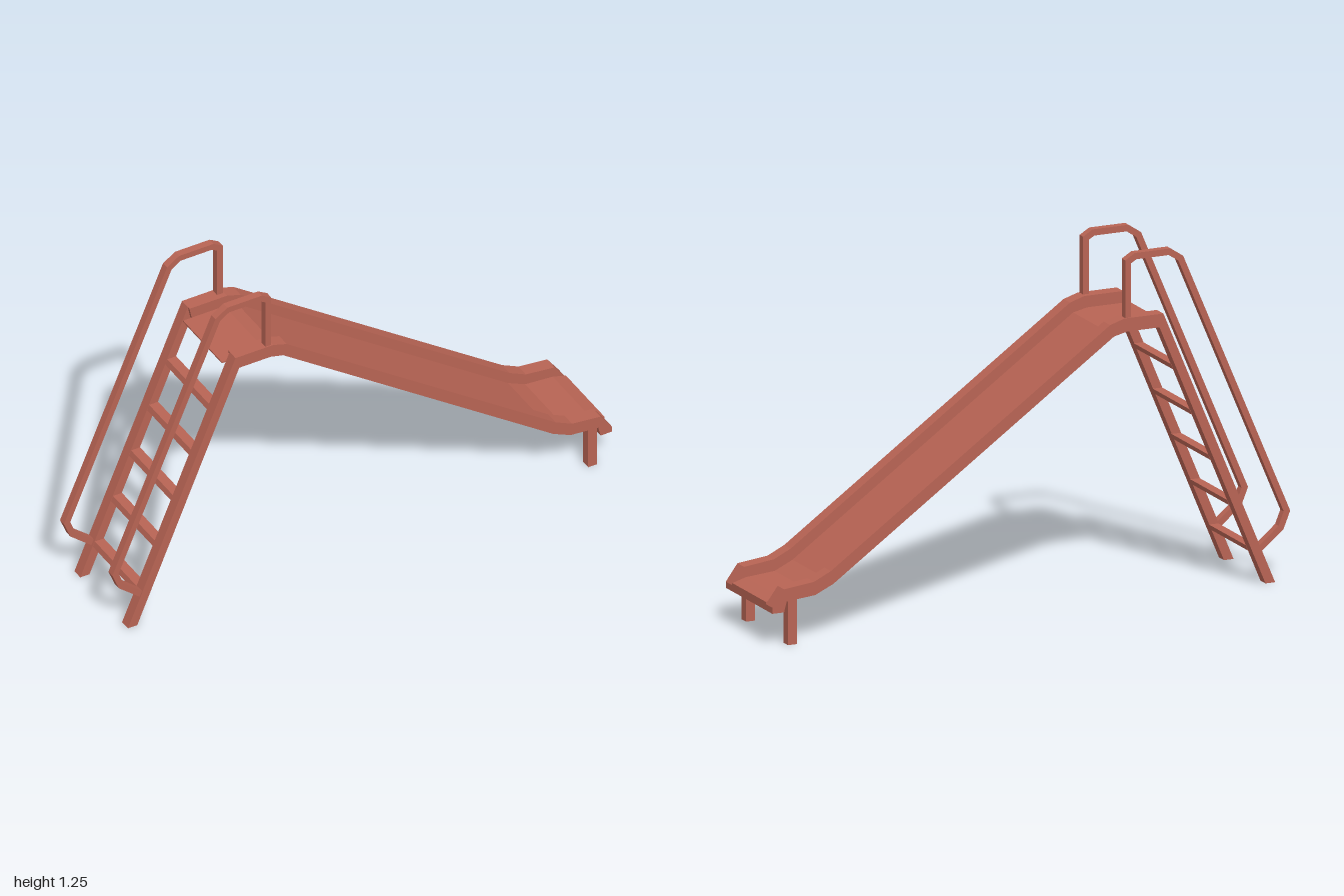
import * as THREE from 'three';

export function createModel() {
  const model = new THREE.Group();
  model.name = 'playgroundSlide';
  const paint = new THREE.MeshStandardMaterial({ color: 0xb86454 });
  paint.name = 'redPaint';

  // Side profile (x, y) extruded from z0 to z1
  const slab = (name, points, z0, z1) => {
    const shape = new THREE.Shape(points.map(([x, y]) => new THREE.Vector2(x, y)));
    const geometry = new THREE.ExtrudeGeometry(shape, { depth: z1 - z0, bevelEnabled: false });
    geometry.translate(0, 0, z0);
    const mesh = new THREE.Mesh(geometry, paint);
    mesh.name = name;
    model.add(mesh);
  };
  const pair = (name, points, z0, z1) => {
    slab(name + 'Left', points, z0, z1);
    slab(name + 'Right', points, -z1, -z0);
  };

  // Closed outline of constant width on the inner side of a path, with mitred corners
  const band = (path, width) => {
    const p = path.map(([x, y]) => new THREE.Vector2(x, y));
    const normal = (a, b) => {
      const d = b.clone().sub(a).normalize();
      return new THREE.Vector2(-d.y, d.x);
    };
    const inner = p.map((q, i) => {
      const n0 = normal(p[Math.max(i - 1, 0)], p[Math.max(i, 1)]);
      const n1 = normal(p[Math.min(i, p.length - 2)], p[Math.min(i + 1, p.length - 1)]);
      const m = n0.clone().add(n1).normalize();
      const offset = q.clone().addScaledVector(m, width / m.dot(n0));
      return [offset.x, offset.y];
    });
    return [...path, ...inner.reverse()];
  };

  // Shared underside of the chute, from the platform to the exit lip
  const underside = [
    [0.995, 0.12], [0.95, 0.12], [0.94, 0.158], [0.83, 0.168], [0.76, 0.2],
    [-0.32, 0.96], [-0.37, 0.972],
  ];
  const railTop = [
    [-0.51, 1.02], [-0.36, 1.02], [-0.305, 1.003], [0.77, 0.247],
    [0.835, 0.216], [0.95, 0.203], [0.995, 0.142],
  ];
  pair('slideRail', [...railTop, ...underside, [-0.5, 0.972]], 0.135, 0.187);

  // Thin sliding bed
  const bedTop = [
    [-0.535, 0.978], [-0.37, 0.978], [-0.317, 0.966], [0.763, 0.206],
    [0.832, 0.174], [0.942, 0.165], [0.995, 0.15],
  ];
  slab('slideBed', [...bedTop, ...underside, [-0.535, 0.972]], -0.135, 0.135);

  // Short legs under the exit
  pair('exitLeg', [[0.9, 0], [0.935, 0], [0.935, 0.162], [0.9, 0.165]], 0.149, 0.187);

  // Ladder stringers
  pair('ladderLeg', [[-0.94, 0], [-0.903, 0], [-0.495, 0.972], [-0.51, 1.02]], 0.146, 0.187);

  // Ladder rungs, sheared to lie within the stringers
  for (let i = 0; i < 5; i++) {
    const y = 0.125 + i * 0.172;
    const x = -0.92 + y * 0.42;
    slab('rung' + (i + 1), [
      [x - 0.022, y - 0.01], [x + 0.014, y - 0.01],
      [x + 0.022, y + 0.01], [x - 0.014, y + 0.01],
    ], -0.15, 0.15);
  }

  // Handrails
  const handrail = [
    [-0.365, 1.01], [-0.365, 1.228], [-0.402, 1.25], [-0.54, 1.25],
    [-0.588, 1.218], [-1, 0.25], [-0.974, 0.186], [-0.88, 0.108],
  ];
  pair('handrail', band(handrail, 0.023), 0.155, 0.183);

  return model;
}
